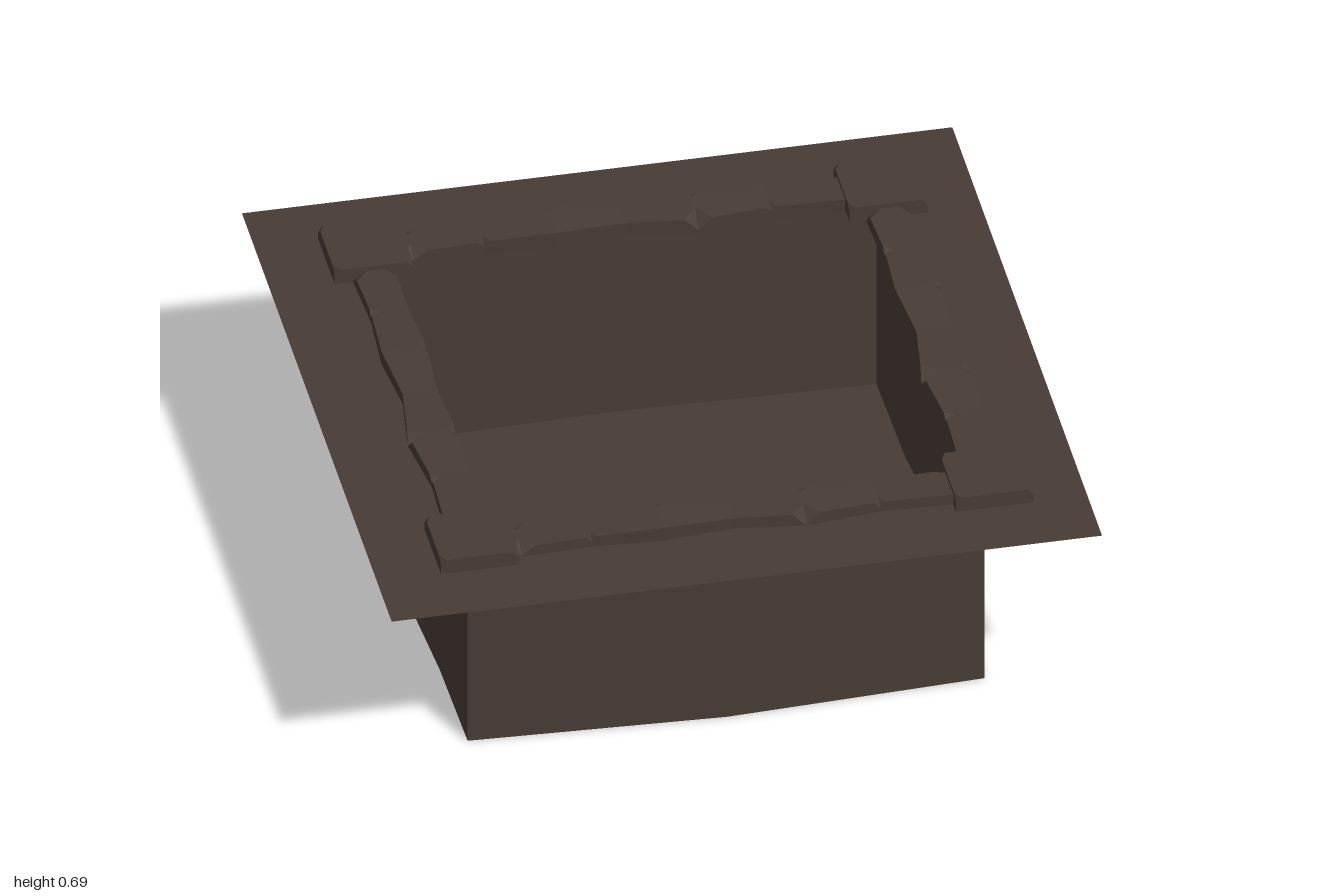
import * as THREE from 'three';
import { ConvexGeometry } from 'three/addons/geometries/ConvexGeometry.js';

const TOP = 0.64; // ground sheet level
const CX = 0.015, CZ = -0.015; // centre of the pit on the sheet

// pit outline as [x, z], slightly bulging between its corners
const outline = [
  [-0.725, 0.71], [0, 0.745], [0.73, 0.71],
  [0.735, 0.36], [0.767, 0], [0.735, -0.37], [0.73, -0.73],
  [0, -0.75], [-0.72, -0.73],
  [-0.725, -0.37], [-0.75, 0], [-0.73, 0.36],
];

// stations along a beam: [u, inner, outer, top, inner chip, outer chip, underside drop]
const stations = [
  [-0.72, -0.062, 0.055, 0.672, 0, 0, 0],
  [-0.6, -0.06, 0.055, 0.672, 0.025, 0.04, 0],
  [-0.4, -0.058, 0.047, 0.673, 0, 0.025, 0.02],
  [-0.2, -0.068, 0.06, 0.683, 0.02, 0, 0],
  [0, -0.055, 0.042, 0.674, 0, 0, 0],
  [0.2, -0.067, 0.07, 0.678, 0.025, 0.055, 0],
  [0.41, -0.06, 0.046, 0.672, 0, 0.025, 0.02],
  [0.62, -0.066, 0.054, 0.673, 0.015, 0, 0],
  [0.72, -0.062, 0.055, 0.672, 0, 0, 0],
];

function flat(positions, index) {
  const g = new THREE.BufferGeometry();
  g.setAttribute('position', new THREE.Float32BufferAttribute(positions, 3));
  g.setIndex(index);
  const out = g.toNonIndexed();
  out.computeVertexNormals();
  return out;
}

// Wavy beam along x with small chips broken from its edges
function beamGeometry() {
  const list = [];
  const between = (a, b, u) => {
    const t = (u - a[0]) / (b[0] - a[0]);
    return a.map((v, i) => (i < 4 ? v + (b[i] - v) * t : 0));
  };
  stations.forEach((s, i) => {
    const inner = i > 0 && i < stations.length - 1;
    if (inner) list.push(between(stations[i - 1], s, s[0] - (s[4] ? 0.04 : 0.017)));
    list.push(s);
    if (inner) list.push(between(s, stations[i + 1], s[0] + (s[4] ? 0.04 : 0.017)));
  });
  const pos = [], idx = [], n = 6;
  for (const [u, zi, zo, top, ci, co, drop] of list) {
    pos.push(u, 0.63 - drop, zi, u, 0.63, zo);
    pos.push(u, top - co * 0.7, zo, u, top, zo - co);
    pos.push(u, top, zi + ci, u, top - ci * 0.7, zi);
  }
  for (let s = 0; s < list.length - 1; s++) {
    for (let k = 0; k < n; k++) {
      const a = s * n + k, b = s * n + (k + 1) % n;
      idx.push(a, a + n, b, b, a + n, b + n);
    }
  }
  const last = (list.length - 1) * n;
  for (let k = 1; k < n - 1; k++) {
    idx.push(0, k, k + 1, last, last + k + 1, last + k);
  }
  return flat(pos, idx);
}

// Square corner slab with nicked upper corners
function slabGeometry() {
  const h = 0.11, lo = 0.638, hi = 0.685, pts = [];
  for (const sx of [-1, 1]) {
    for (const sz of [-1, 1]) {
      const add = (x, y, z) => pts.push(new THREE.Vector3(sx * x, y, sz * z));
      add(h, lo, h);
      add(h, hi - 0.02, h);
      add(h, hi, h - 0.03);
      add(h - 0.015, hi, h);
    }
  }
  return new ConvexGeometry(pts);
}

export function createModel() {
  const group = new THREE.Group();
  const earth = new THREE.MeshStandardMaterial({ color: 0x483c35 });
  earth.name = 'darkBrown';
  earth.side = THREE.DoubleSide;
  const add = (name, geometry, x = 0, z = 0, turn = 0) => {
    const mesh = new THREE.Mesh(geometry, earth);
    mesh.name = name;
    mesh.position.set(x, 0, z);
    mesh.rotation.y = turn;
    group.add(mesh);
    return mesh;
  };

  // Ground sheet with the pit opening
  const points = outline.map(([x, z]) => new THREE.Vector2(x, -z));
  const sheet = new THREE.Shape([[-1, -1], [1, -1], [1, 1], [-1, 1]].map(p => new THREE.Vector2(...p)));
  sheet.holes.push(new THREE.Path(points));
  add('groundSheet', new THREE.ShapeGeometry(sheet).rotateX(-Math.PI / 2)).position.y = TOP;

  // Pit floor and walls
  add('pitFloor', new THREE.ShapeGeometry(new THREE.Shape(points)).rotateX(-Math.PI / 2));
  const pos = [], idx = [], n = outline.length;
  outline.forEach(([x, z], i) => {
    pos.push(x, 0, z, x, TOP, z);
    const a = 2 * i, b = 2 * ((i + 1) % n);
    idx.push(a, b, a + 1, b, b + 1, a + 1);
  });
  add('pitWalls', flat(pos, idx));

  // Four rim beams, all cut from the same pattern
  const beam = beamGeometry();
  add('frontBeam', beam, CX, 0.715);
  add('backBeam', beam, CX, -0.73);
  add('rightBeam', beam, 0.733, CZ, -Math.PI / 2);
  add('leftBeam', beam, -0.713, CZ, -Math.PI / 2);

  // Corner slabs
  const slab = slabGeometry();
  for (const sx of [-1, 1]) {
    for (const sz of [-1, 1]) add('cornerSlab', slab, CX + sx * 0.725, CZ + sz * 0.71);
  }
  return group;
}
